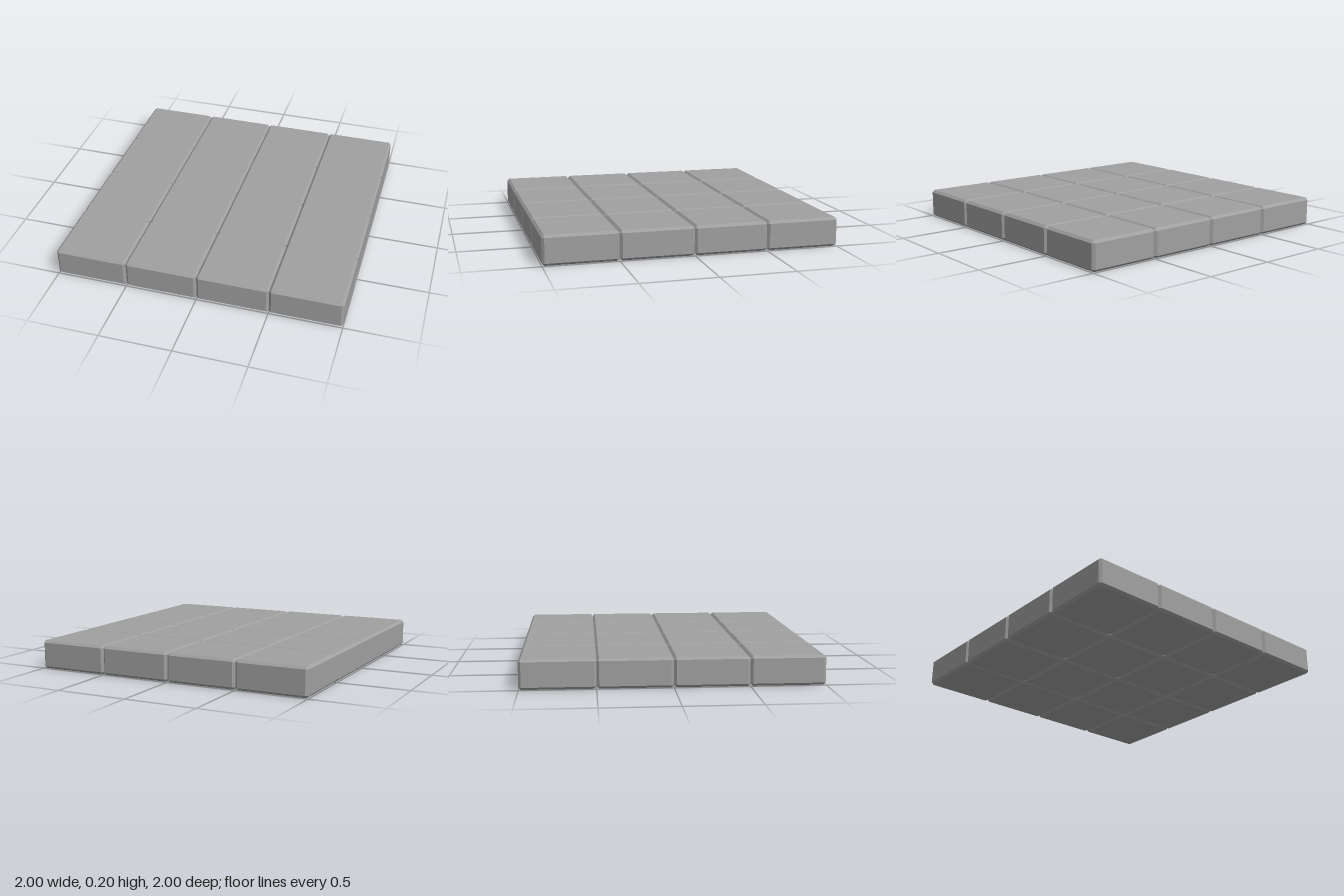
import * as THREE from 'three';
import { ConvexGeometry } from 'three/addons/geometries/ConvexGeometry.js';

const TILE = 0.5, HEIGHT = 0.2, BEVEL = 0.017, COUNT = 4;

// Box with all edges chamfered: each corner becomes three points
function chamferedBox(w, h, d, c) {
  const points = [];
  for (const sx of [-1, 1]) for (const sy of [-1, 1]) for (const sz of [-1, 1]) {
    const x = w / 2, y = h / 2, z = d / 2;
    points.push(
      new THREE.Vector3(sx * x, sy * (y - c), sz * (z - c)),
      new THREE.Vector3(sx * (x - c), sy * y, sz * (z - c)),
      new THREE.Vector3(sx * (x - c), sy * (y - c), sz * z)
    );
  }
  return new ConvexGeometry(points);
}

export function createModel() {
  const group = new THREE.Group();
  group.name = 'tiledFloor';

  const stone = new THREE.MeshStandardMaterial({ color: 0xa0a0a0 });
  stone.name = 'grey stone';

  // Square grid of identical slabs, side by side
  const slab = chamferedBox(TILE, HEIGHT, TILE, BEVEL);
  const start = -(COUNT - 1) * TILE / 2;
  for (let row = 0; row < COUNT; row++) {
    for (let col = 0; col < COUNT; col++) {
      const tile = new THREE.Mesh(slab, stone);
      tile.name = `floorTile_${row + 1}_${col + 1}`;
      tile.position.set(start + col * TILE, HEIGHT / 2, start + row * TILE);
      group.add(tile);
    }
  }
  return group;
}
